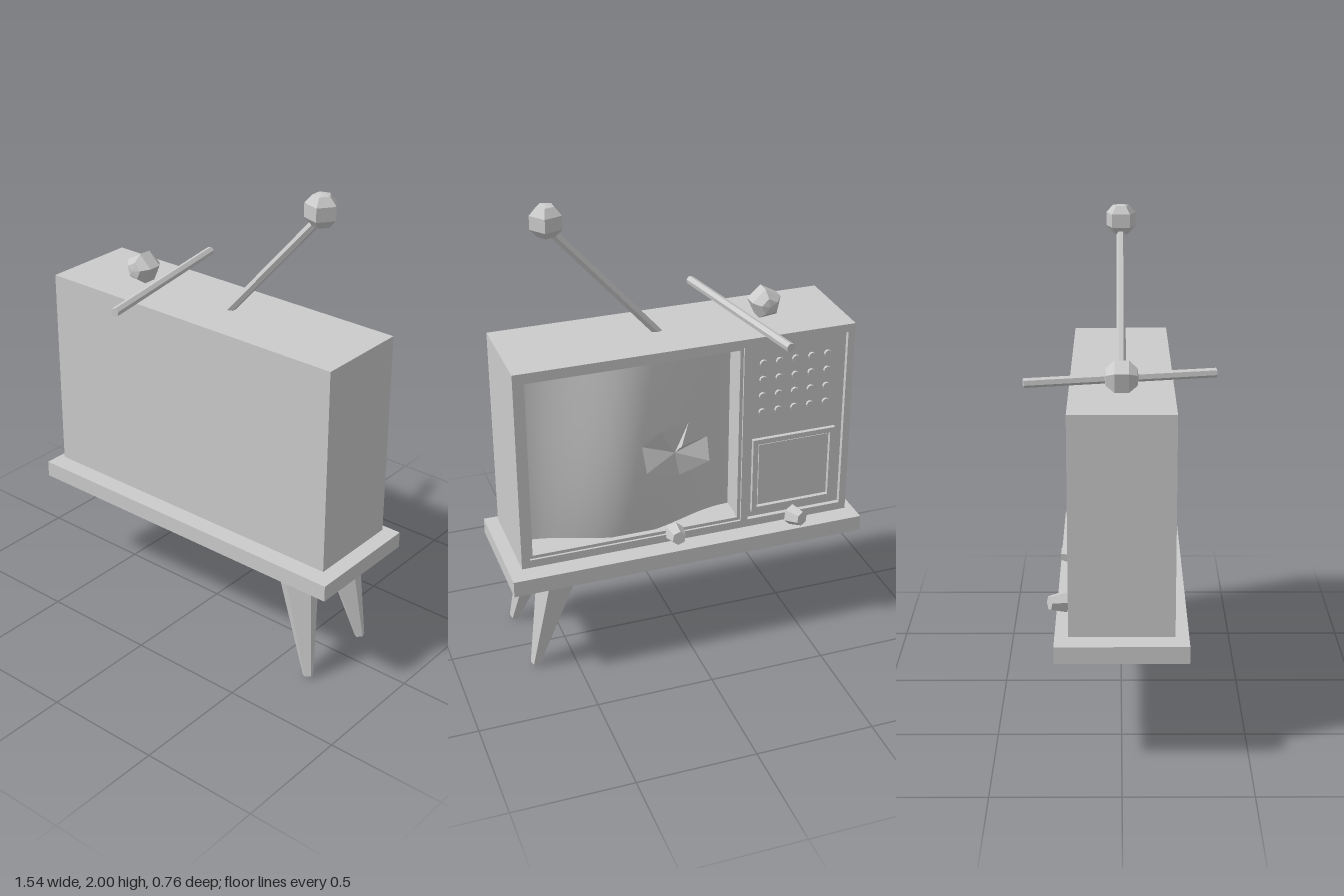
import * as THREE from 'three';

const mat = new THREE.MeshStandardMaterial({ color: 0xcccccc, flatShading: true, side: THREE.DoubleSide });
const smooth = new THREE.MeshStandardMaterial({ color: 0xcccccc, side: THREE.DoubleSide });

export function createModel() {
  const root = new THREE.Group();

  const add = (name, geo, x = 0, y = 0, z = 0, material = mat) => {
    const mesh = new THREE.Mesh(geo, material);
    mesh.name = name;
    mesh.position.set(x, y, z);
    root.add(mesh);
    return mesh;
  };

  // Box given by its limits
  const block = (name, x0, x1, y0, y1, z0, z1) =>
    add(name, new THREE.BoxGeometry(x1 - x0, y1 - y0, z1 - z0), (x0 + x1) / 2, (y0 + y1) / 2, (z0 + z1) / 2);

  // Rectangular slab with rectangular openings, from z0 to z1
  const rect = (T, [x0, x1, y0, y1]) => new T().moveTo(x0, y0).lineTo(x1, y0).lineTo(x1, y1).lineTo(x0, y1).closePath();
  const frame = (name, outer, holes, z0, z1) => {
    const shape = rect(THREE.Shape, outer);
    shape.holes = holes.map((h) => rect(THREE.Path, h));
    return add(name, new THREE.ExtrudeGeometry(shape, { depth: z1 - z0, bevelEnabled: false }), 0, 0, z0);
  };
  const inset = ([x0, x1, y0, y1], w) => [x0 + w, x1 - w, y0 + w, y1 - w];

  // Tapered rod between two points
  const rod = (name, a, b, ra, rb, sides) => {
    const from = new THREE.Vector3(...a), to = new THREE.Vector3(...b);
    const dir = to.clone().sub(from);
    const mesh = add(name, new THREE.CylinderGeometry(rb, ra, dir.length(), sides));
    mesh.position.copy(from).add(to).multiplyScalar(0.5);
    mesh.quaternion.setFromUnitVectors(new THREE.Vector3(0, 1, 0), dir.normalize());
    return mesh;
  };

  // Table top and its two remaining splayed legs
  block('tableTop', -0.77, 0.77, 0.44, 0.51, -0.26, 0.26);
  rod('frontLeg', [0.67, 0.008, 0.215], [0.548, 0.45, 0.14], 0.022, 0.092, 5);
  rod('backLeg', [0.67, 0.008, -0.15], [0.548, 0.45, -0.135], 0.022, 0.092, 5);

  // Cabinet: closed rear block and a deep frame around screen and controls
  const screenHole = [-0.235, 0.685, 0.565, 1.375];
  const panelHole = [-0.69, -0.265, 0.565, 1.375];
  block('cabinetRear', -0.72, 0.72, 0.53, 1.41, -0.04, 0.205);
  frame('cabinetFrame', [-0.72, 0.72, 0.53, 1.41], [screenHole, panelHole], -0.205, -0.04);
  frame('screenLip', screenHole, [inset(screenHole, 0.014)], -0.195, -0.17);

  // Bulging screen glass
  const w = screenHole[1] - screenHole[0], h = screenHole[3] - screenHole[2];
  const glass = new THREE.PlaneGeometry(w, h, 32, 16).rotateY(Math.PI);
  const p = glass.attributes.position;
  for (let i = 0; i < p.count; i++) {
    const u = (2 * p.getX(i)) / w, v = (2 * p.getY(i)) / h;
    const across = 0.5 + 0.5 * Math.cos(Math.PI * u);
    p.setZ(i, -across * (0.11 + 0.035 * (1 - v * v)));
  }
  glass.computeVertexNormals();
  add('screen', glass, (screenHole[0] + screenHole[1]) / 2, (screenHole[2] + screenHole[3]) / 2, -0.05, smooth);

  // Jagged broken patch: a fan with alternating raised tips
  const tips = [[0.2, 1.0], [0.13, 1.07], [0, 1.08], [0.04, 0.99], [-0.08, 1.0], [-0.08, 0.9], [0.04, 0.84], [0.19, 0.89]];
  const fan = [];
  const tip = (i) => [...tips[i % 8], i % 2 ? -0.23 : -0.2];
  for (let i = 0; i < 8; i++) fan.push(0.06, 0.95, -0.202, ...tip(i), ...tip(i + 1));
  const crack = new THREE.BufferGeometry();
  crack.setAttribute('position', new THREE.Float32BufferAttribute(fan, 3));
  crack.computeVertexNormals();
  add('brokenGlass', crack);

  // Control panel, speaker dots and lower framed plate
  block('controlPanel', ...panelHole, -0.185, -0.04);
  for (let r = 0; r < 4; r++) {
    for (let c = 0; c < 5; c++) {
      const dot = new THREE.CylinderGeometry(0.016, 0.016, 0.02, 8).rotateX(Math.PI / 2);
      add('speakerDot', dot, -0.325 - c * 0.071, 1.285 - r * 0.074, -0.187);
    }
  }
  const plate = [-0.655, -0.285, 0.595, 0.94];
  frame('plateFrame', plate, [inset(plate, 0.022)], -0.203, -0.18);
  block('lowerPlate', ...inset(plate, 0.03), -0.193, -0.18);

  // Loose knobs resting at the foot of the cabinet
  const knob = (x, z, turn) => {
    const geo = new THREE.CylinderGeometry(0.03, 0.045, 0.065, 6).rotateX(-Math.PI / 2);
    add('knob', geo, x, 0.567, z).rotation.set(0.1, turn, 0.2);
  };
  knob(-0.47, -0.255, 0.4);
  knob(0.06, -0.225, 0);

  // Aerials: one upright, one snapped off and lying on the top
  const ball = new THREE.LatheGeometry(
    [[0, -0.066], [0.036, -0.061], [0.066, -0.028], [0.066, 0.028], [0.036, 0.061], [0, 0.066]].map((q) => new THREE.Vector2(...q)),
    5, Math.PI / 2);
  rod('aerialRod', [0.06, 1.4, 0], [0.5, 1.9, 0], 0.019, 0.019, 6);
  add('aerialTip', ball, 0.508, 1.934, 0);
  rod('brokenAerialRod', [-0.357, 1.435, -0.38], [-0.213, 1.44, 0.375], 0.019, 0.019, 6);
  add('brokenAerialTip', ball, -0.4, 1.468, 0).rotation.set(Math.PI / 2, 0.2, 0);

  return root;
}
